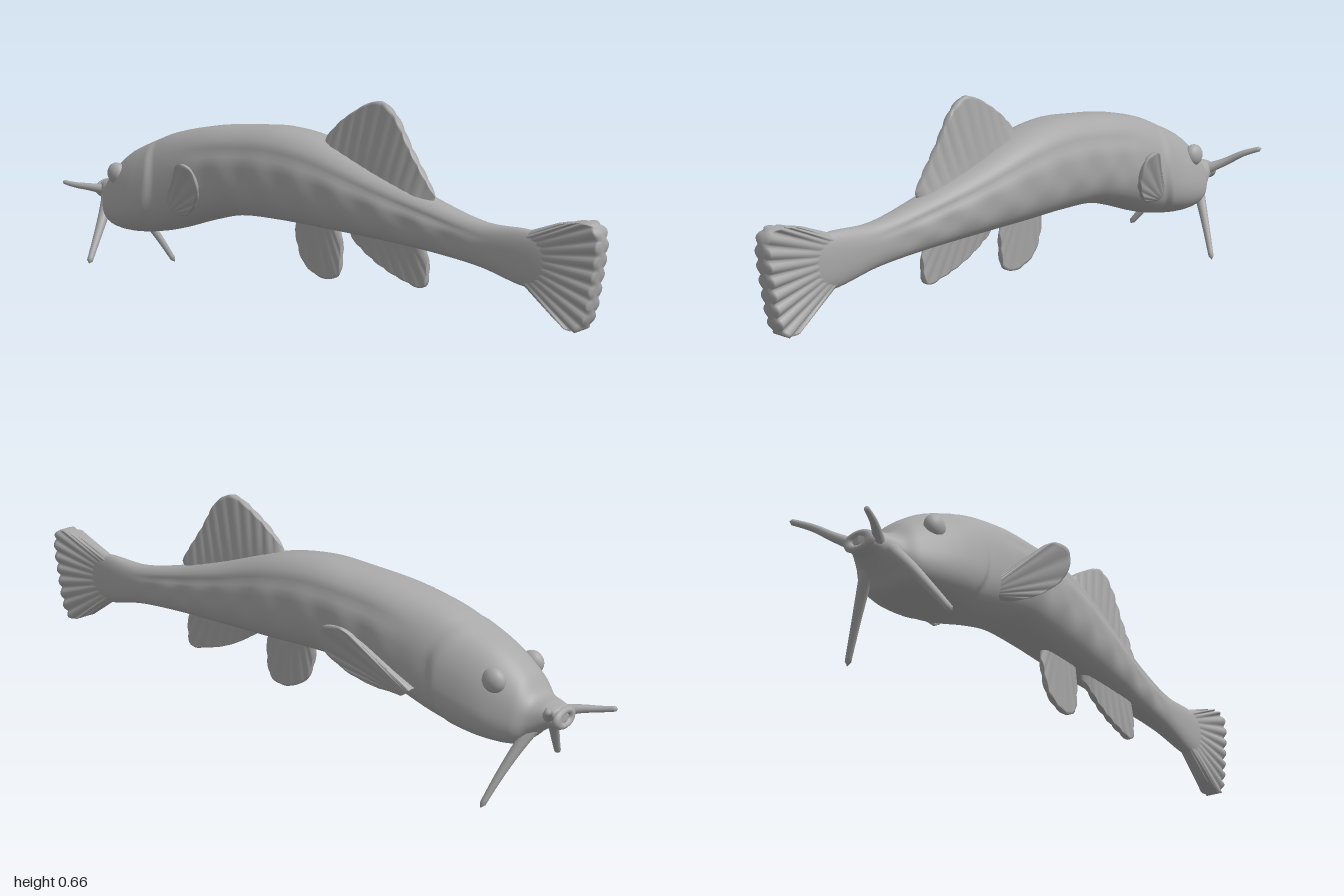
import * as THREE from 'three';
import { mergeVertices } from 'three/addons/utils/BufferGeometryUtils.js';

const V = (p) => new THREE.Vector3(...p);
const curve = (pts) => new THREE.CatmullRomCurve3(pts.map(V));

// Smooth surface from a function of u (along) and v (around), seam welded
function grid(nu, nv, fn) {
  const pos = [], idx = [];
  for (let i = 0; i <= nu; i++)
    for (let j = 0; j <= nv; j++) pos.push(...fn(i / nu, (j % nv) / nv));
  for (let i = 0; i < nu; i++)
    for (let j = 0; j < nv; j++) {
      const a = i * (nv + 1) + j, b = a + nv + 1;
      idx.push(a, b, a + 1, b, b + 1, a + 1);
    }
  let geo = new THREE.BufferGeometry();
  geo.setAttribute('position', new THREE.Float32BufferAttribute(pos, 3));
  geo.setIndex(idx);
  geo = mergeVertices(geo, 1e-5);
  geo.computeVertexNormals();
  return geo;
}

// Body stations: x, top, bottom, half width, sideways shift, pear factor
const stations = [
  [-0.90, 0.265, 0.245, 0.0, 0.01, 0],
  [-0.89, 0.282, 0.228, 0.036, 0.01, 0],
  [-0.86, 0.290, 0.218, 0.052, 0.012, 0],
  [-0.82, 0.300, 0.190, 0.075, 0.018, 0.1],
  [-0.78, 0.350, 0.158, 0.100, 0.022, 0.2],
  [-0.71, 0.403, 0.152, 0.116, 0.025, 0.25],
  [-0.62, 0.445, 0.160, 0.122, 0.027, 0.22],
  [-0.52, 0.485, 0.182, 0.125, 0.022, 0.15],
  [-0.38, 0.518, 0.230, 0.122, 0.013, 0.05],
  [-0.25, 0.535, 0.265, 0.117, 0.005, 0.02],
  [-0.10, 0.547, 0.274, 0.112, -0.002, 0],
  [0.06, 0.527, 0.275, 0.104, -0.008, 0],
  [0.27, 0.462, 0.275, 0.082, -0.010, 0],
  [0.46, 0.410, 0.270, 0.056, -0.008, 0],
  [0.62, 0.380, 0.258, 0.040, -0.004, 0],
  [0.76, 0.385, 0.232, 0.030, 0, 0],
  [0.84, 0.375, 0.245, 0.018, 0, 0],
  [0.88, 0.315, 0.305, 0.0, 0, 0],
];

function bodyGeometry() {
  const a = curve(stations.map((s) => s.slice(0, 3)));
  const b = curve(stations.map((s) => s.slice(3)));
  a.curveType = b.curveType = 'catmullrom';
  const sgnPow = (x, e) => Math.sign(x) * Math.abs(x) ** e;
  return grid(190, 56, (u, v) => {
    const { x, y: top, z: bottom } = a.getPoint(u);
    const { x: width, y: shift, z: pear } = b.getPoint(u);
    const ang = v * Math.PI * 2, c = Math.cos(ang), s = Math.sin(ang);
    const ny = sgnPow(s, 0.85), nz = sgnPow(c, 0.78);
    let w = Math.max(width, 0) * (1 - pear * ny);
    // Gill cover edge
    const edge = -0.54 - 0.06 * ny * ny;
    w += 0.011 * THREE.MathUtils.smoothstep(x, -0.78, -0.62)
      * (1 - THREE.MathUtils.smoothstep(x, edge - 0.012, edge + 0.012));
    // Soft lumps and a shallow groove along the flank
    const flank = THREE.MathUtils.smoothstep(x, -0.5, -0.3) * (1 - THREE.MathUtils.smoothstep(x, 0.4, 0.7));
    w += flank * 0.004 * Math.sin(x * 44) * Math.exp(-((ny + 0.1) ** 2) * 8);
    w -= flank * 0.006 * Math.exp(-((ny - 0.5) ** 2) * 60);
    return [x, (top + bottom) / 2 + (top - bottom) / 2 * ny, shift + w * nz];
  });
}

// Ribbed fin spanning a root curve and a tip curve, thick along z
function finGeometry(rootPts, tipPts, rays, rootThick, tipThick) {
  const root = curve(rootPts), tip = curve(tipPts);
  const out = tip.getPointAt(0.5).sub(root.getPointAt(0.5));
  const across = tip.getPointAt(1).sub(tip.getPointAt(0));
  const side = Math.sign(out.cross(across).z) || 1;
  const n = rays * 6;
  return grid(24, n * 2, (u, v) => {
    const t = v <= 0.5 ? v * 2 : 2 - v * 2;
    const k = Math.min(u * 24 / 23, 1);
    const p = root.getPointAt(t).lerp(tip.getPointAt(t), k);
    const rim = Math.min(1, Math.sqrt(Math.min(t, 1 - t) * 10));
    const rib = 1 - 0.45 * k * (1 - Math.abs(Math.sin(Math.PI * rays * t)));
    const th = u === 1 ? 0 : THREE.MathUtils.lerp(rootThick, tipThick, k) * rim * rib;
    p.z += side * (v < 0.5 ? 1 : -1) * th;
    return p.toArray();
  });
}

// Tapered whisker with a rounded end
function barbelGeometry(pts, r0, r1) {
  const path = curve(pts), n = 24;
  const frames = path.computeFrenetFrames(n, false);
  return grid(n, 10, (u, v) => {
    const i = Math.round(u * n), ang = v * Math.PI * 2;
    const r = i === n ? 0 : THREE.MathUtils.lerp(r0, r1, Math.sqrt(u));
    return path.getPointAt(u)
      .addScaledVector(frames.normals[i], r * Math.cos(ang))
      .addScaledVector(frames.binormals[i], r * Math.sin(ang)).toArray();
  });
}

export function createModel() {
  const model = new THREE.Group();
  model.name = 'fish';
  const grey = new THREE.MeshStandardMaterial({ color: 0xa8a8a8, side: THREE.DoubleSide });
  grey.name = 'grey';
  const add = (name, geo) => {
    const mesh = new THREE.Mesh(geo, grey);
    mesh.name = name;
    model.add(mesh);
    return mesh;
  };

  add('body', bodyGeometry());

  // Fins on the centre line
  add('dorsalFin', finGeometry(
    [[0.04, 0.51, 0], [0.2, 0.465, 0], [0.33, 0.425, 0], [0.44, 0.39, 0]],
    [[0.055, 0.54, 0], [0.14, 0.61, 0], [0.25, 0.662, 0], [0.305, 0.635, 0], [0.37, 0.54, 0], [0.455, 0.425, 0]],
    11, 0.026, 0.010));
  add('bellyFin', finGeometry(
    [[-0.06, 0.30, 0], [0.02, 0.29, 0], [0.10, 0.30, 0]],
    [[-0.07, 0.25, 0], [-0.03, 0.155, 0], [0.05, 0.122, 0], [0.10, 0.14, 0], [0.118, 0.25, 0]],
    7, 0.018, 0.008));
  add('analFin', finGeometry(
    [[0.14, 0.29, 0], [0.28, 0.29, 0], [0.42, 0.285, 0]],
    [[0.15, 0.262, 0], [0.25, 0.205, 0], [0.35, 0.172, 0], [0.42, 0.165, 0], [0.435, 0.25, 0]],
    8, 0.018, 0.009));
  add('tailFin', finGeometry(
    [[0.75, 0.375, 0], [0.78, 0.31, 0], [0.75, 0.24, 0]],
    [[0.86, 0.418, 0], [0.97, 0.434, 0], [0.994, 0.41, 0], [0.985, 0.28, 0], [0.96, 0.17, 0], [0.935, 0.145, 0], [0.85, 0.172, 0]],
    13, 0.020, 0.027));

  for (const s of [1, -1]) {
    const side = s > 0 ? 'left' : 'right';
    // Upswept fins behind the gills
    const at = ([x, y, z]) => [x, y, s * z + (s > 0 ? 0 : -0.004)];
    add(side + 'PectoralFin', finGeometry(
      [[-0.50, 0.275, 0.115], [-0.485, 0.26, 0.115], [-0.46, 0.245, 0.105]].map(at),
      [[-0.45, 0.32, 0.15], [-0.39, 0.385, 0.18], [-0.33, 0.438, 0.218], [-0.27, 0.428, 0.226],
        [-0.262, 0.37, 0.208], [-0.32, 0.30, 0.17], [-0.40, 0.255, 0.13]].map(at),
      8, 0.014, 0.007));

    // Eyes
    const eye = add(side + 'Eye', new THREE.SphereGeometry(0.034, 24, 16));
    eye.position.set(-0.725, 0.338, 0.022 + s * 0.092);
    eye.scale.z = 0.75;
  }

  // Whiskers, bent slightly differently on each side
  add('leftLowerBarbel', barbelGeometry(
    [[-0.83, 0.24, 0.06], [-0.805, 0.19, 0.105], [-0.78, 0.12, 0.16], [-0.762, 0.06, 0.205]], 0.026, 0.009));
  add('rightLowerBarbel', barbelGeometry(
    [[-0.83, 0.24, -0.005], [-0.80, 0.17, -0.05], [-0.77, 0.09, -0.095], [-0.742, 0.004, -0.138]], 0.026, 0.008));
  add('leftUpperBarbel', barbelGeometry(
    [[-0.86, 0.255, 0.045], [-0.91, 0.262, 0.075], [-0.95, 0.265, 0.095], [-0.995, 0.272, 0.11]], 0.020, 0.007));
  add('rightUpperBarbel', barbelGeometry(
    [[-0.865, 0.26, -0.02], [-0.90, 0.285, -0.07], [-0.925, 0.315, -0.12], [-0.955, 0.335, -0.172]], 0.020, 0.008));

  // Lips around the small mouth
  const lips = add('lips', new THREE.TorusGeometry(0.026, 0.012, 10, 28));
  lips.rotation.y = Math.PI / 2;
  lips.scale.set(1.3, 0.8, 1);
  lips.position.set(-0.893, 0.252, 0.01);
  return model;
}
